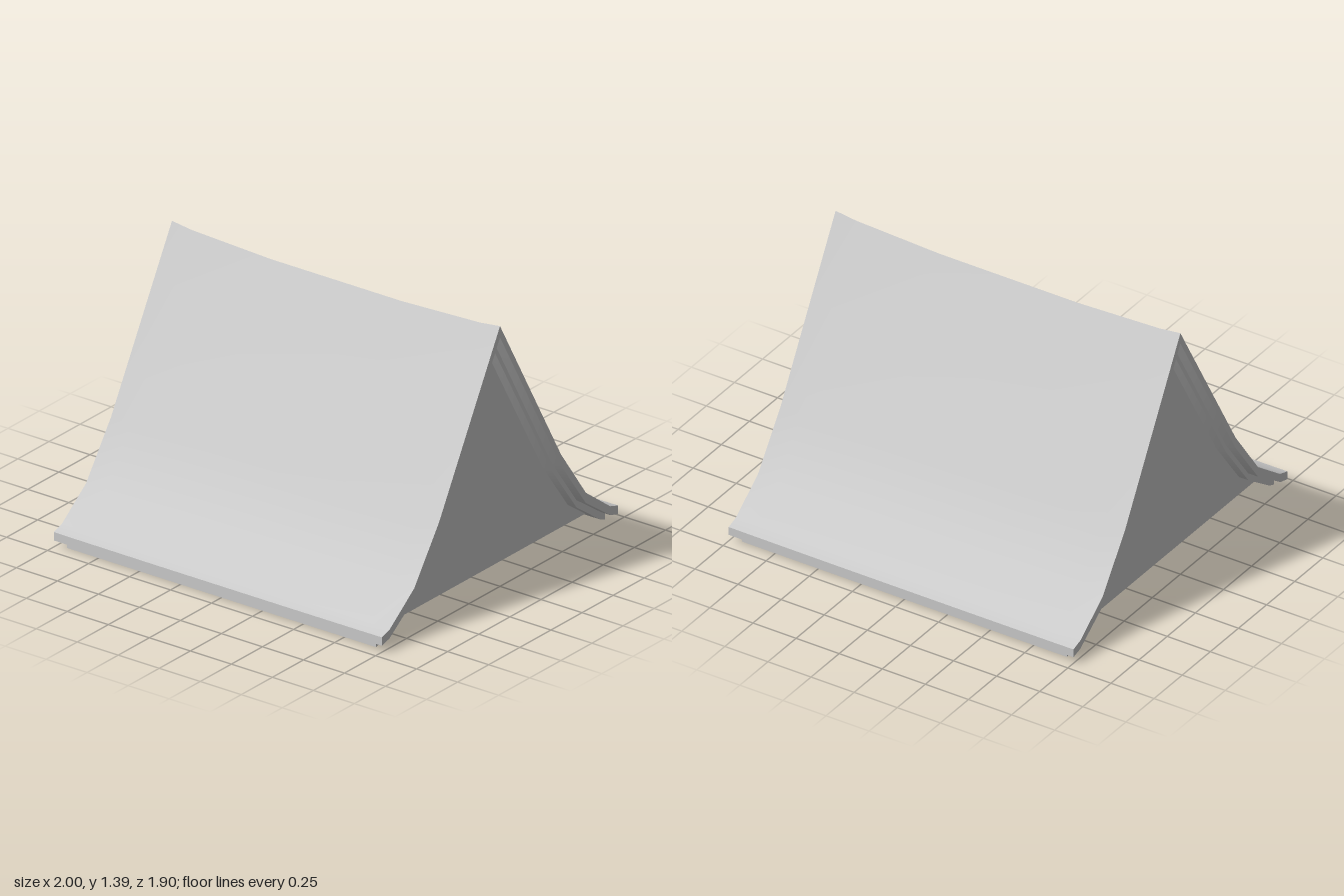
import * as THREE from 'three';
import { toCreasedNormals } from 'three/addons/utils/BufferGeometryUtils.js';

// Half profiles as [z, y], from ridge to eave
const TOP = [[0, 1.395], [0.49, 0.525], [0.69, 0.245], [0.885, 0.1], [0.95, 0.08]];
const MID = [[0, 1.335], [0.49, 0.465], [0.69, 0.19], [0.89, 0.05]];
const LOW = [[0, 1.29], [0.49, 0.425], [0.69, 0.15], [0.88, 0.015], [0.92, 0]];

// Stations along the ridge and how far the ridge sags at each
const STATIONS = [-1, -0.88, -0.4, 0.4, 0.88, 1];
const SAG = [0, 0.015, 0.035, 0.035, 0.015, 0];

function sagAt(x) {
  let i = 0;
  while (i < STATIONS.length - 2 && x > STATIONS[i + 1]) i++;
  const t = (x - STATIONS[i]) / (STATIONS[i + 1] - STATIONS[i]);
  return THREE.MathUtils.lerp(SAG[i], SAG[i + 1], t);
}

// Lower each vertex in proportion to its height
function applySag(geometry) {
  const p = geometry.attributes.position;
  for (let i = 0; i < p.count; i++) {
    p.setY(i, p.getY(i) * (1 - sagAt(p.getX(i)) / TOP[0][1]));
  }
  geometry.computeVertexNormals();
  return geometry;
}

// Full line over the ridge, from the -z eave to the +z eave
function mirrored(half) {
  return [...half.slice(1).reverse().map(([z, y]) => [-z, y]), ...half];
}

function shapeOf(points) {
  return new THREE.Shape(points.map(([z, y]) => new THREE.Vector2(z, y)));
}

// Bent slab between an outer and an inner line, running along x
function roofLayer(outer, inner, halfLength, material, name) {
  const shape = shapeOf([...mirrored(outer), ...mirrored(inner).reverse()]);
  const steps = STATIONS.length - 1;
  const geometry = new THREE.ExtrudeGeometry(shape, { depth: steps, steps, bevelEnabled: false });
  geometry.rotateY(Math.PI / 2);
  const p = geometry.attributes.position;
  for (let i = 0; i < p.count; i++) {
    p.setX(i, STATIONS[Math.round(p.getX(i))] * halfLength);
  }
  const mesh = new THREE.Mesh(toCreasedNormals(applySag(geometry), Math.PI / 6), material);
  mesh.name = name;
  return mesh;
}

export function createModel() {
  const group = new THREE.Group();
  group.name = 'gableRoof';
  const material = new THREE.MeshStandardMaterial({ color: 0xcccccc });
  const sheet = new THREE.MeshStandardMaterial({ color: 0xcccccc, side: THREE.DoubleSide });

  // Outer covering and the shorter layer beneath it
  group.add(roofLayer(TOP, [...MID, [0.95, 0.035]], 1, material, 'roofCovering'));
  group.add(roofLayer([...MID, [0.92, 0.043]], LOW, 0.943, material, 'roofUnderlayer'));

  // Thin gable walls set in from both ends
  const gable = shapeOf(mirrored([...LOW.slice(0, 3), [0.83, 0.05]]));
  for (const side of [1, -1]) {
    const geometry = new THREE.ShapeGeometry(gable);
    geometry.rotateY(side * Math.PI / 2);
    geometry.translate(side * 0.89, 0, 0);
    const wall = new THREE.Mesh(applySag(geometry), sheet);
    wall.name = side > 0 ? 'leftGable' : 'rightGable';
    group.add(wall);
  }
  return group;
}
